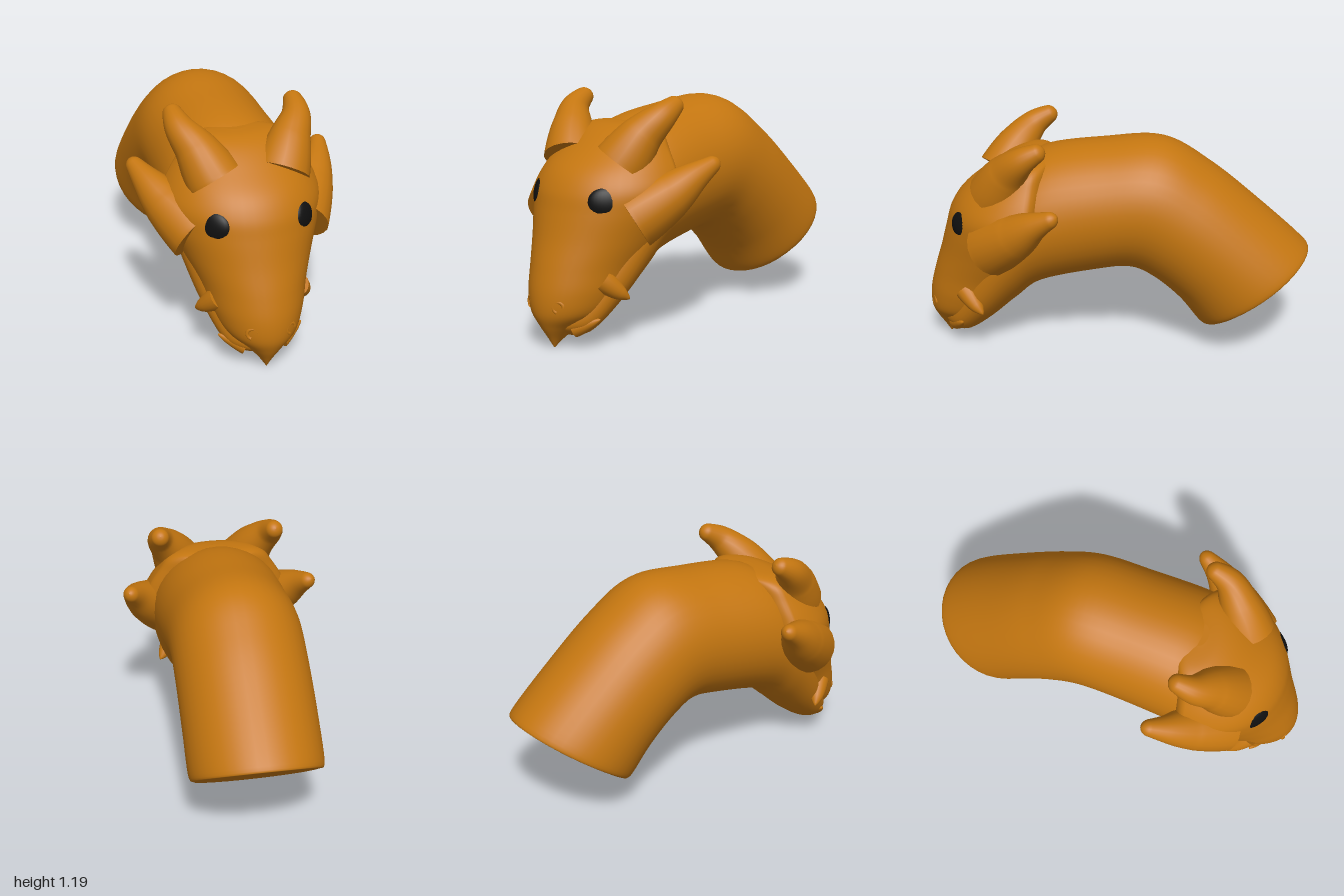
import * as THREE from 'three';

const hide = new THREE.MeshStandardMaterial({ color: 0xc47610, side: THREE.DoubleSide });
const black = new THREE.MeshStandardMaterial({ color: 0x101010 });
const V = (x, y, z) => new THREE.Vector3(x, y, z);

// Spline through rows of numbers, resampled to n + 1 rows
function smooth(rows, n) {
  const last = rows.length - 1;
  return Array.from({ length: n + 1 }, (_, k) => {
    const u = (k / n) * last, i = Math.min(Math.floor(u), last - 1), t = u - i;
    const row = (j) => rows[Math.max(0, Math.min(last, j))];
    return rows[0].map((_, c) => {
      const p0 = row(i - 1)[c], p1 = row(i)[c], p2 = row(i + 1)[c], p3 = row(i + 2)[c];
      return p1 + 0.5 * t * (p2 - p0 + t * (2 * p0 - 5 * p1 + 4 * p2 - p3 + t * (3 * (p1 - p2) + p3 - p0)));
    });
  });
}

// Skin closed rings of points, with a creased cap on both ends
function loft(rings) {
  const m = rings[0].length, pts = rings.flat(), index = [];
  for (let i = 0; i < rings.length - 1; i++) {
    for (let j = 0; j < m; j++) {
      const a = i * m + j, b = i * m + (j + 1) % m;
      index.push(a, b, a + m, b, b + m, a + m);
    }
  }
  [rings[0], rings[rings.length - 1]].forEach((ring, end) => {
    const base = pts.length;
    const centre = ring.reduce((s, p) => s.add(p), V(0, 0, 0)).divideScalar(m);
    pts.push(...ring, centre);
    for (let j = 0; j < m; j++) {
      const a = base + j, b = base + (j + 1) % m;
      index.push(base + m, end ? a : b, end ? b : a);
    }
  });
  const geo = new THREE.BufferGeometry().setFromPoints(pts);
  geo.setIndex(index);
  geo.computeVertexNormals();
  return geo;
}

const ringOf = (m, f) => Array.from({ length: m }, (_, j) => f((j / m) * Math.PI * 2));

// Tapered round horn along a curve, with a rounded tip
function horn(points, radii) {
  const curve = new THREE.CatmullRomCurve3(points);
  const widths = smooth(radii.map((r) => [r]), 40);
  const rings = widths.map(([r], k) => {
    const u = 1 - Math.pow(1 - k / 40, 1.4);
    const c = curve.getPoint(u), t = curve.getTangent(u);
    const n = V().crossVectors(t, V(1, 0, 0)).normalize();
    const b = V().crossVectors(t, n);
    const e = Math.max(0, (u - 0.92) / 0.08);
    const s = r * Math.sqrt(Math.max(0.001, 1 - e * e));
    return ringOf(20, (a) => c.clone().addScaledVector(n, s * Math.cos(a)).addScaledVector(b, s * Math.sin(a)));
  });
  return loft(rings);
}

export function createModel() {
  const model = new THREE.Group();
  const add = (name, geometry, material = hide) => {
    const mesh = new THREE.Mesh(geometry, material);
    mesh.name = name;
    model.add(mesh);
    return mesh;
  };

  // Neck running into the lower jaw: top z, top y, bottom z, bottom y, half width
  const neck = smooth([
    [-0.985, 0.54, -0.45, 0.125, 0.31],
    [-0.995, 0.57, -0.42, 0.16, 0.335],
    [-0.76, 0.78, -0.33, 0.275, 0.338],
    [-0.50, 0.99, -0.20, 0.385, 0.338],
    [-0.25, 1.13, -0.08, 0.44, 0.338],
    [0.05, 1.12, 0.08, 0.425, 0.34],
    [0.40, 1.06, 0.38, 0.355, 0.35],
    [0.56, 0.90, 0.52, 0.25, 0.335],
    [0.74, 0.55, 0.66, 0.125, 0.27],
    [0.87, 0.26, 0.78, 0.048, 0.19],
    [0.92, 0.15, 0.87, 0.065, 0.10],
    [0.93, 0.12, 0.92, 0.105, 0.02],
  ], 77);
  add('neckAndJaw', loft(neck.map(([tz, ty, bz, by, w]) => ringOf(40, (a) => {
    const s = Math.sin(a) / 2;
    return V(w * Math.cos(a), (ty + by) / 2 + (ty - by) * s, (tz + bz) / 2 + (tz - bz) * s);
  }))));

  // Skull with hooked beak: height, front z, widest z, half width
  const skull = smooth([
    [0.0, 0.905, 0.90, 0.003],
    [0.05, 0.935, 0.87, 0.04],
    [0.11, 0.97, 0.83, 0.10],
    [0.18, 0.995, 0.77, 0.185],
    [0.28, 0.993, 0.70, 0.235],
    [0.40, 0.965, 0.63, 0.272],
    [0.53, 0.925, 0.54, 0.33],
    [0.66, 0.89, 0.47, 0.385],
    [0.76, 0.86, 0.45, 0.40],
    [0.85, 0.80, 0.44, 0.365],
    [0.94, 0.69, 0.43, 0.31],
    [1.01, 0.59, 0.42, 0.26],
    [1.045, 0.51, 0.41, 0.18],
    [1.055, 0.44, 0.40, 0.06],
  ], 78);
  add('skull', loft(skull.map(([y, front, mid, w]) => ringOf(48, (a) => {
    const c = Math.cos(a), depth = c > 0 ? front - mid : Math.min(0.11, w * 0.5);
    return V(w * Math.sin(a), y, mid + depth * c);
  }))));

  for (const s of [1, -1]) {
    const side = s > 0 ? 'left' : 'right';
    add(side + 'CrownHorn', horn(
      [V(s * 0.17, 0.88, 0.60), V(s * 0.235, 1.01, 0.53), V(s * 0.295, 1.10, 0.45), V(s * 0.31, 1.17, 0.335)],
      [0.14, 0.095, 0.06, 0.036]));
    add(side + 'CheekHorn', horn(
      [V(s * 0.26, 0.62, 0.62), V(s * 0.37, 0.73, 0.48), V(s * 0.44, 0.815, 0.38), V(s * 0.495, 0.89, 0.26)],
      [0.15, 0.105, 0.058, 0.032]));

    // Spikes at the mouth corner and along the lower jaw
    add(side + 'MouthSpike', horn(
      [V(s * 0.20, 0.34, 0.77), V(s * 0.25, 0.285, 0.72), V(s * 0.29, 0.245, 0.675)], [0.06, 0.035, 0.004]));
    add(side + 'JawSpike', horn(
      [V(s * 0.09, 0.10, 0.85), V(s * 0.15, 0.125, 0.825), V(s * 0.215, 0.155, 0.80)], [0.045, 0.026, 0.003]));

    // Eye lying flush on the side of the face
    const eye = add(side + 'Eye', new THREE.SphereGeometry(1, 28, 18), black);
    eye.scale.set(0.088, 0.076, 0.036);
    eye.position.set(s * 0.222, 0.718, 0.765);
    eye.lookAt(s * 0.922, 0.86, 1.42);

    // Raised nostril rim
    const nostril = add(side + 'Nostril', new THREE.TorusGeometry(0.026, 0.009, 8, 20, Math.PI * 1.4));
    nostril.position.set(s * 0.095, 0.225, 0.962);
    nostril.lookAt(s * 0.45, 0.26, 1.7);
  }
  return model;
}
